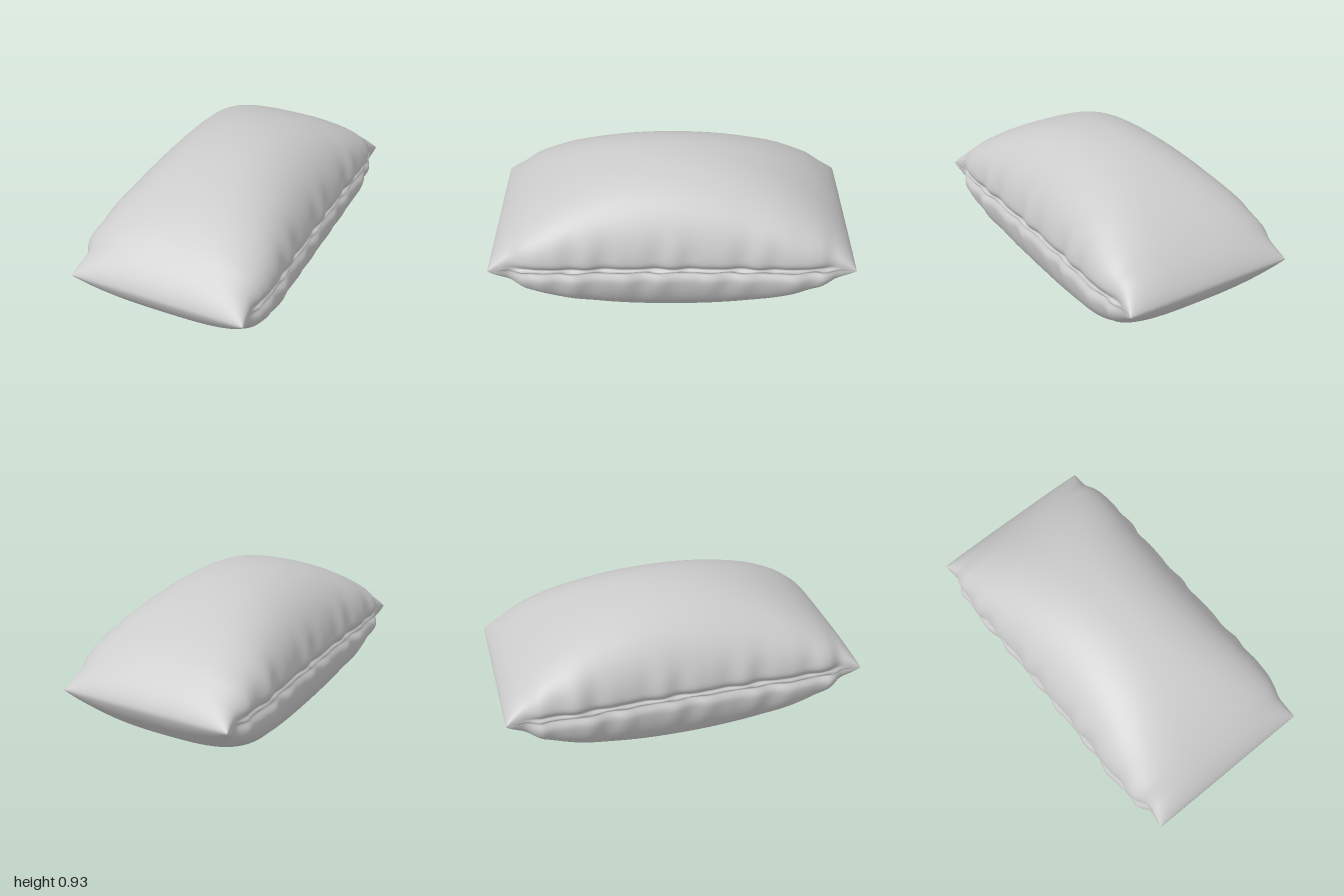
import * as THREE from 'three';

const ROWS = 140, COLS = 144, MID = 0.466;
const bump = (v, w) => Math.exp(-((v / w) ** 2));

// half width of the cushion along its length, with pinched corners and ears
const widths = [[0, 0.515], [0.4, 0.517], [0.6, 0.526], [0.8, 0.517], [0.9, 0.482], [1, 0.492]];
function halfWidth(a) {
  let i = 0;
  while (i < widths.length - 2 && a > widths[i + 1][0]) i++;
  const [z0, w0] = widths[i], [z1, w1] = widths[i + 1];
  return THREE.MathUtils.lerp(w0, w1, THREE.MathUtils.smoothstep(a, z0, z1));
}

// a point of the cover: z along the length, t around the section
function coverPoint(z, t) {
  const a = Math.abs(z);
  const H = 0.462 * Math.pow(Math.max(0, 1 - a * a), 0.7) + 0.004;
  const e = 2 / (2.2 + 1.1 * a * a);
  const c = Math.cos(t), s = Math.sin(t);
  const nx = Math.sign(c) * Math.abs(c) ** e;
  const y = Math.sign(s) * Math.abs(s) ** e * H;
  let x = nx * halfWidth(a);

  // puckers beside the seam, fading towards the crown and the ends
  const side = Math.sign(x), up = Math.sign(y);
  const fade = 1 - THREE.MathUtils.smoothstep(a, 0.85, 1);
  const edge = Math.abs(nx) ** 6 * bump(Math.abs(y) - 0.09, 0.13);
  const wave = Math.sin(z * 27 + side * 0.9 + up * 0.8) + 0.5 * Math.sin(z * 41 + up * 1.7);
  x += side * 0.007 * wave * edge * fade;

  // groove with a raised seam in it
  const g = Math.abs(nx) ** 4 * (1 - THREE.MathUtils.smoothstep(a, 0.78, 0.93));
  x -= side * g * (0.03 * bump(y, 0.035) - 0.018 * bump(y, 0.009));
  return [x, y + MID, z];
}

function coverGeometry() {
  const pos = [], idx = [];
  for (let i = 0; i <= ROWS; i++) {
    // rows gather at the ends
    const z = Math.sin((i / ROWS - 0.5) * Math.PI);
    for (let j = 0; j < COLS; j++) {
      // points gather at the side seams
      const u = (j / COLS) * Math.PI * 2;
      pos.push(...coverPoint(z, u - 0.42 * Math.sin(2 * u)));
    }
  }
  for (let i = 0; i < ROWS; i++) {
    for (let j = 0; j < COLS; j++) {
      const k = (j + 1) % COLS;
      const a = i * COLS + j, b = i * COLS + k;
      idx.push(a, b, a + COLS, b, b + COLS, a + COLS);
    }
  }
  const geo = new THREE.BufferGeometry();
  geo.setAttribute('position', new THREE.Float32BufferAttribute(pos, 3));
  geo.setIndex(idx);
  geo.computeVertexNormals();
  return geo;
}

export function createModel() {
  const group = new THREE.Group();
  group.name = 'cushion';
  const material = new THREE.MeshStandardMaterial({ color: 0xcccccc, side: THREE.DoubleSide });

  const cover = new THREE.Mesh(coverGeometry(), material);
  cover.name = 'cover';
  group.add(cover);

  // thin stitched edges closing both ends
  for (const s of [1, -1]) {
    const seam = new THREE.Mesh(new THREE.BoxGeometry(0.98, 0.008, 0.01), material);
    seam.name = s > 0 ? 'frontSeam' : 'backSeam';
    seam.position.set(0, MID, s * 0.995);
    group.add(seam);
  }
  return group;
}
